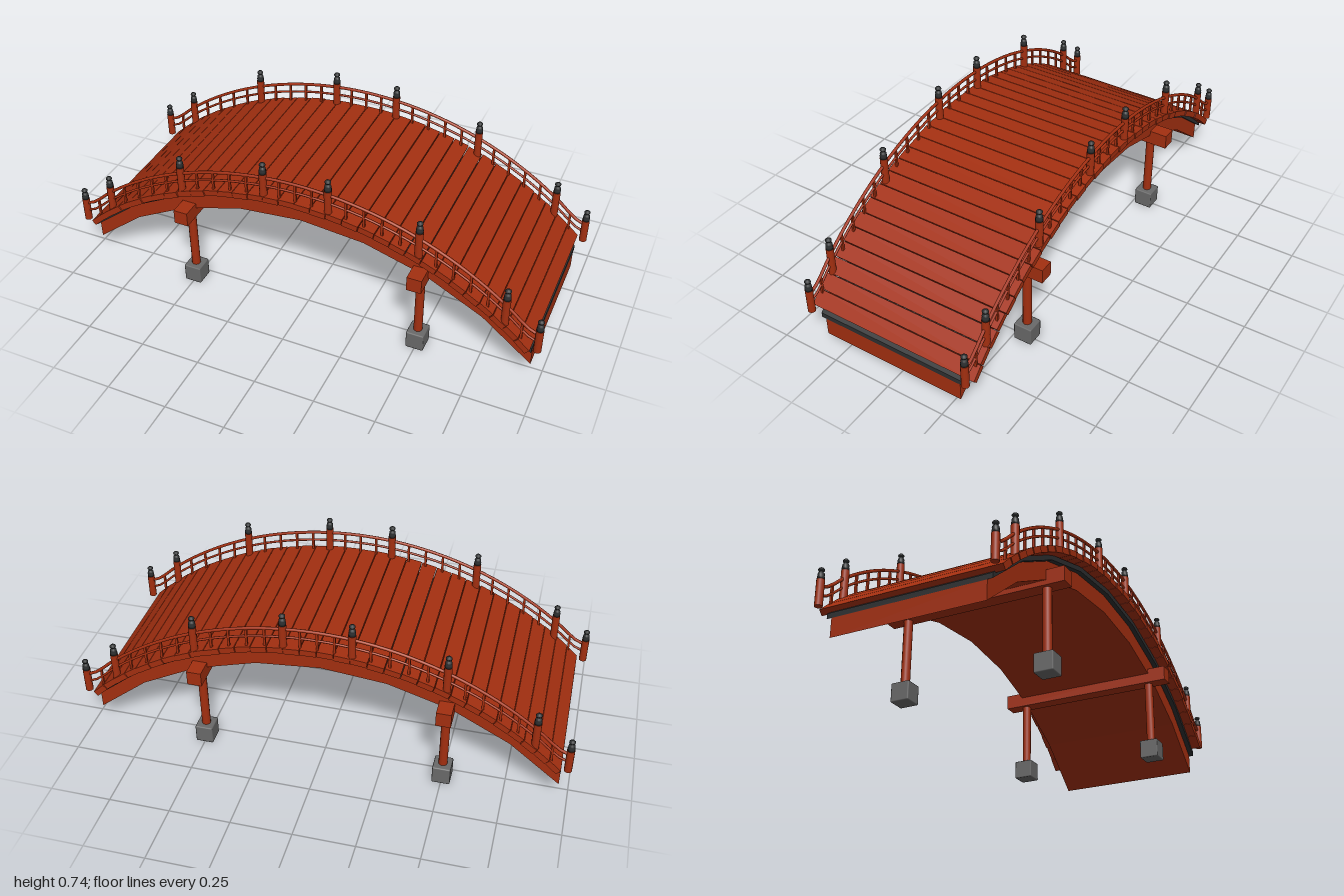
import * as THREE from 'three';
import { RoundedBoxGeometry } from 'three/addons/geometries/RoundedBoxGeometry.js';

const R = 1.371, CROWN = 0.594, HALF_ANGLE = 0.776, RAIL_Z = 0.352;
// Height of the arched walking surface, level at the landings.
const deckY = (x) => Math.max(0.2, CROWN - R + Math.sqrt(R * R - x * x));

export function createModel() {
  const bridge = new THREE.Group();
  bridge.name = 'archedBridge';
  const material = (name, color) => new THREE.MeshStandardMaterial({ name, color });
  const red = material('vermilionWood', 0xa32f10);
  const dark = material('darkTrim', 0x2d2f30);
  const stone = material('stone', 0x696969);

  const add = (name, geometry, mat, x = 0, y = 0, z = 0, parent = bridge) => {
    const mesh = new THREE.Mesh(geometry, mat);
    mesh.name = name;
    mesh.position.set(x, y, z);
    parent.add(mesh);
    return mesh;
  };

  // Faceted arch bands, offset straight down from the deck.
  const archBand = (top, bottom, width) => {
    const xs = [];
    for (let i = -4; i <= 4; i++) xs.push(R * Math.sin((HALF_ANGLE * i) / 4));
    const outline = [
      ...xs.map((x) => new THREE.Vector2(x, deckY(x) - bottom)),
      ...xs.reverse().map((x) => new THREE.Vector2(x, deckY(x) - top)),
    ];
    const g = new THREE.ExtrudeGeometry(new THREE.Shape(outline), { depth: width, bevelEnabled: false });
    return g.translate(0, 0, -width / 2);
  };
  add('archBeam', archBand(0.045, 0.122, 0.62), red);
  add('archTrim', archBand(0.024, 0.045, 0.66), dark);

  // Planks laid around the arc, with slightly uneven lengths.
  const deck = new THREE.Group();
  deck.name = 'deck';
  bridge.add(deck);
  const count = 32, step = (2 * HALF_ANGLE) / count;
  for (let i = 0; i < count; i++) {
    const a = -HALF_ANGLE + (i + 0.5) * step;
    const length = 0.735 + 0.009 * ((i * 7) % 5) / 4;
    const r = R - 0.0125;
    const plank = add('plank', new THREE.BoxGeometry(R * step - 0.003, 0.025, length), red,
      r * Math.sin(a), CROWN - R + r * Math.cos(a), 0, deck);
    plank.rotation.z = -a;
  }

  // Supports: crossbeam, round columns and bevelled footings.
  const column = new THREE.CylinderGeometry(0.018, 0.018, 0.28, 12);
  const footing = new RoundedBoxGeometry(0.074, 0.078, 0.078, 1, 0.005);
  for (const x of [-0.5, 0.5]) {
    add('crossbeam', new THREE.BoxGeometry(0.06, 0.062, 0.77), red, x, 0.375, 0);
    for (const z of [-0.3, 0.3]) {
      add('column', column, red, x, 0.215, z);
      add('footing', footing, stone, x, 0.039, z);
    }
  }

  // Post cap profile: collar, neck and rounded finial.
  const cap = new THREE.LatheGeometry([
    [0, 0], [0.0145, 0], [0.0145, 0.012], [0.0125, 0.014], [0.0135, 0.02],
    [0.012, 0.026], [0.007, 0.031], [0.0075, 0.033], [0.0125, 0.038],
    [0.0125, 0.042], [0.008, 0.047], [0, 0.05],
  ].map(([r, y]) => new THREE.Vector2(r, y)), 12);

  const postXs = [-0.985, -0.85, -0.5, -0.135, 0.135, 0.5, 0.85, 0.985];
  const balusterCounts = [1, 4, 4, 3, 4, 4, 1];

  // Railings on both sides.
  for (const side of [-1, 1]) {
    const railing = new THREE.Group();
    railing.name = side > 0 ? 'frontRailing' : 'backRailing';
    railing.position.z = side * RAIL_Z;
    bridge.add(railing);

    postXs.forEach((x, i) => {
      const end = i === 0 || i === postXs.length - 1;
      const bottom = deckY(x) - (end ? 0 : 0.02);
      const top = deckY(x) + (end ? 0.105 : 0.11) - (Math.abs(x) < 0.2 ? 0.01 : 0);
      const post = new THREE.CylinderGeometry(0.0155, 0.0155, top - bottom, 12);
      add('post', post, red, x, (top + bottom) / 2, 0, railing);
      add('postCap', cap, dark, x, top, 0, railing);
    });

    // Curved rails
    for (const [name, height, radius] of [['topRail', 0.079, 0.0065], ['middleRail', 0.042, 0.005]]) {
      const points = [-0.985];
      for (let k = -12; k <= 12; k++) points.push(0.94 * k / 12);
      points.push(0.985);
      const path = new THREE.CatmullRomCurve3(
        points.map((x) => new THREE.Vector3(x, deckY(x) + height, 0)));
      add(name, new THREE.TubeGeometry(path, 48, radius, 8), red, 0, 0, 0, railing);
    }

    // Balusters between neighbouring posts
    balusterCounts.forEach((n, i) => {
      for (let k = 1; k <= n; k++) {
        const x = THREE.MathUtils.lerp(postXs[i], postXs[i + 1], k / (n + 1));
        add('baluster', new THREE.BoxGeometry(0.009, 0.085, 0.009), red, x, deckY(x) + 0.034, 0, railing);
      }
    });
  }
  return bridge;
}
